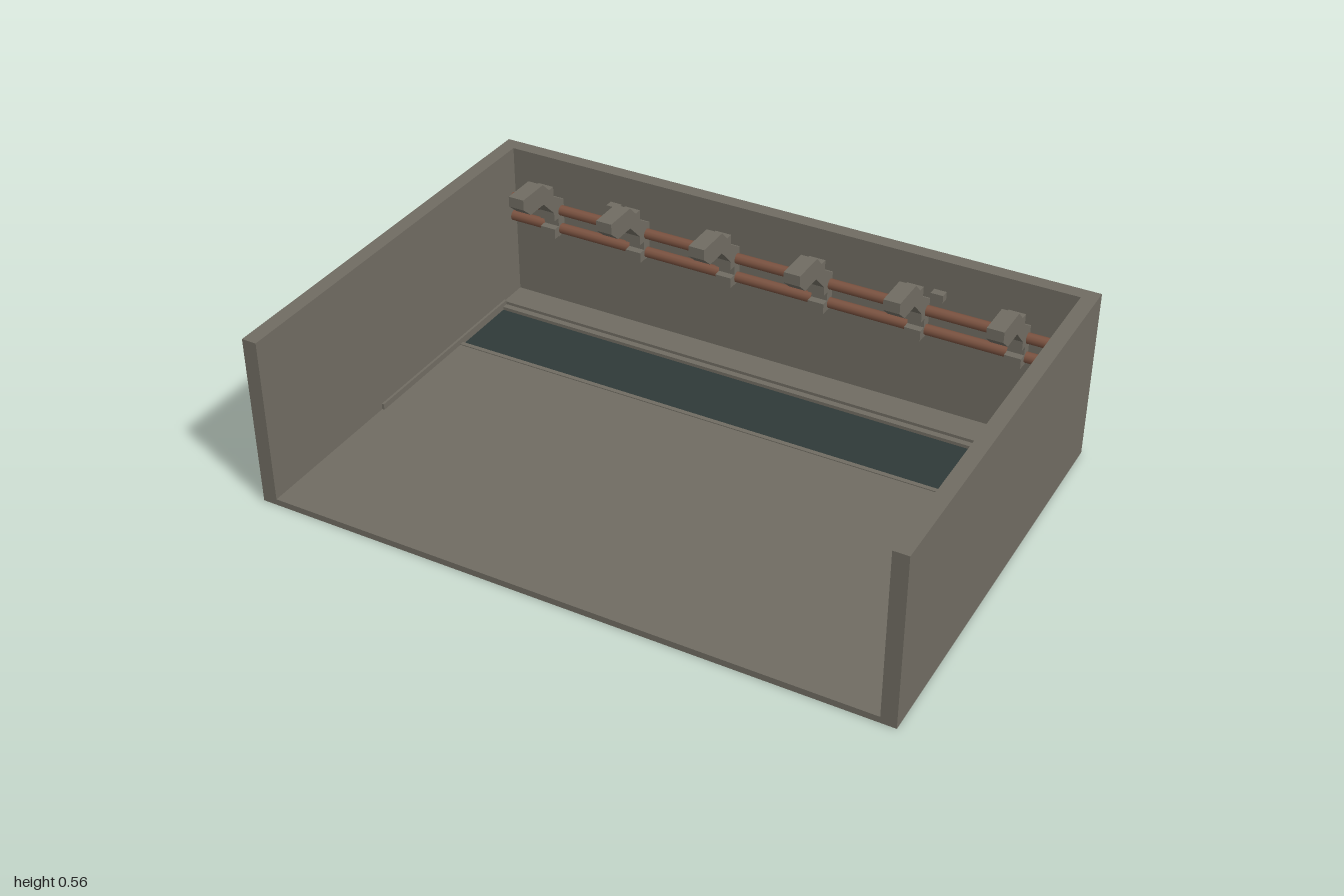
import * as THREE from 'three';

const stone = new THREE.MeshStandardMaterial({ name: 'grey brown stone', color: 0x706c62 });
const water = new THREE.MeshStandardMaterial({ name: 'dark teal channel', color: 0x2f3938 });
const copper = new THREE.MeshStandardMaterial({ name: 'copper pipe', color: 0x7a5240 });

export function createModel() {
  const model = new THREE.Group();
  model.name = 'troughStall';

  const add = (name, geometry, material) => {
    const mesh = new THREE.Mesh(geometry, material);
    mesh.name = name;
    model.add(mesh);
    return mesh;
  };
  // box given by its lowest and highest corners
  const box = (name, x0, x1, y0, y1, z0, z1, material = stone) => {
    const mesh = add(name, new THREE.BoxGeometry(x1 - x0, y1 - y0, z1 - z0), material);
    mesh.position.set((x0 + x1) / 2, (y0 + y1) / 2, (z0 + z1) / 2);
    return mesh;
  };

  // walls: one U-shaped outline, open at the front
  const outline = new THREE.Shape([
    [-1, -0.685], [-0.953, -0.685], [-0.953, 0.634], [0.953, 0.634],
    [0.953, -0.685], [1, -0.685], [1, 0.68], [-1, 0.68],
  ].map(([x, y]) => new THREE.Vector2(x, y)));
  const walls = new THREE.ExtrudeGeometry(outline, { depth: 0.555, bevelEnabled: false });
  walls.rotateX(-Math.PI / 2);
  add('walls', walls, stone);

  // floor, with a sunken channel towards the back
  box('base', -0.953, 0.953, 0, 0.01, -0.634, 0.685);
  box('frontFloor', -0.953, 0.953, 0.01, 0.02, -0.26, 0.685);
  box('channelFrontLip', -0.945, 0.945, 0.01, 0.023, -0.275, -0.26);
  box('channelBed', -0.945, 0.945, 0.01, 0.014, -0.515, -0.275, water);
  box('channelBackLip', -0.953, 0.953, 0.01, 0.025, -0.535, -0.515);
  box('backLedge', -0.953, 0.953, 0.01, 0.035, -0.634, -0.535);
  for (const s of [-1, 1]) {
    const x = s * 0.949;
    box('skirting', x - 0.004, x + 0.004, 0.01, 0.04, -0.535, 0.16);
  }

  // round cover on the inside of the left wall
  const cover = add('wallCover', new THREE.CylinderGeometry(0.04, 0.04, 0.012, 16), stone);
  cover.rotation.z = Math.PI / 2;
  cover.scale.z = 2.3;
  cover.position.set(0.949, 0.18, -0.235);

  // two pipes along the back wall
  for (const y of [0.32, 0.386]) {
    const pipe = add('pipe', new THREE.CylinderGeometry(0.017, 0.017, 1.906, 12), copper);
    pipe.rotation.z = Math.PI / 2;
    pipe.position.set(0, y, -0.617);
  }

  // stepped brackets, drawn as (z, y) and extruded across x
  const profile = new THREE.Shape([
    [-0.634, 0.3], [-0.575, 0.3], [-0.575, 0.335], [-0.6, 0.335],
    [-0.6, 0.365], [-0.575, 0.365], [-0.575, 0.395], [-0.55, 0.42],
    [-0.515, 0.455], [-0.44, 0.455], [-0.4, 0.49], [-0.4, 0.525],
    [-0.515, 0.525], [-0.55, 0.49], [-0.575, 0.49], [-0.575, 0.455],
    [-0.63, 0.42], [-0.634, 0.42],
  ].map(([z, y]) => new THREE.Vector2(-z, y)));
  const bracket = new THREE.ExtrudeGeometry(profile, { depth: 0.053, bevelEnabled: false });
  bracket.translate(0, 0, -0.0265);
  bracket.rotateY(Math.PI / 2);
  for (const x of [-0.797, -0.482, -0.162, 0.155, 0.473, 0.79]) {
    add('bracket', bracket, stone).position.x = x;
    // bolt end showing through the back wall
    box('bracketBolt', x - 0.0265, x + 0.0265, 0.298, 0.332, -0.688, -0.6);
  }

  // small plates on the back wall
  for (const x of [-0.575, 0.53]) box('wallPlate', x - 0.02, x + 0.02, 0.43, 0.455, -0.634, -0.607);

  return model;
}
